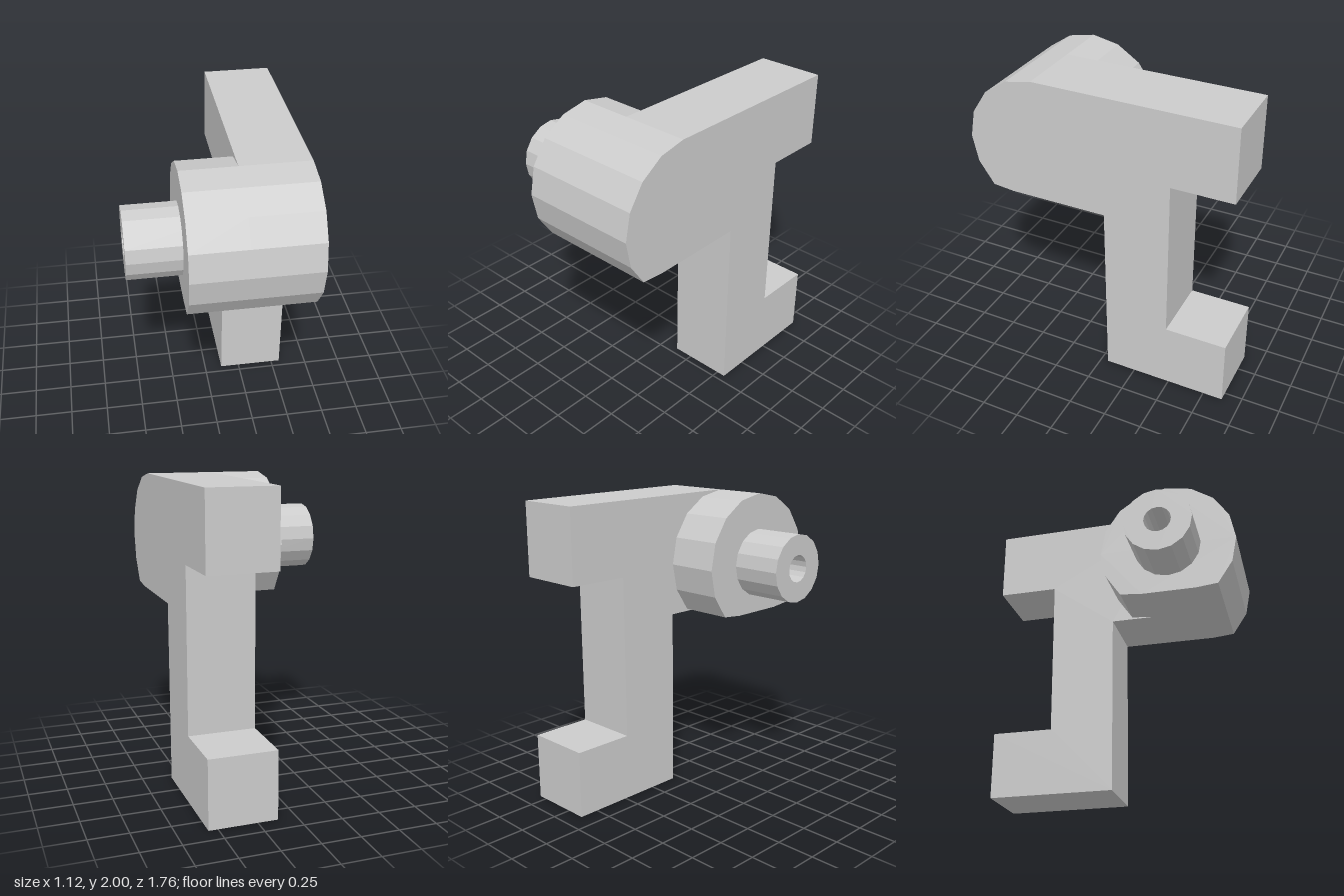
import * as THREE from 'three';

const CZ = 0.42, CY = 1.54; // axis of the drum and spigot
const material = new THREE.MeshStandardMaterial({ color: 0xcccccc, flatShading: true });

// Points of a 16-sided circle around the axis, from step a to step b
function arc(radius, a, b) {
  const pts = [];
  const step = Math.sign(b - a);
  for (let i = a; i !== b + step; i += step) {
    const t = (i * Math.PI) / 8;
    pts.push(new THREE.Vector2(CZ + radius * Math.cos(t), CY + radius * Math.sin(t)));
  }
  return pts;
}

// Extrudes a side profile (z, y) across x, from x0 to x1
function slab(name, shape, x0, x1) {
  const geometry = new THREE.ExtrudeGeometry(shape, { depth: x1 - x0, bevelEnabled: false });
  geometry.rotateY(-Math.PI / 2).translate(x1, 0, 0);
  const mesh = new THREE.Mesh(geometry, material);
  mesh.name = name;
  return mesh;
}

export function createModel() {
  const group = new THREE.Group();
  group.name = 'bracket';
  const R = 0.46;
  const v = (z, y) => new THREE.Vector2(z, y);

  // Bracket plate: foot, stem, top arm and rounded nose
  const plate = new THREE.Shape([
    v(-0.05, 0), v(-0.045, 1.2), v(0.6, 1.2),
    ...arc(R, -2, 4),
    v(-0.88, 1.995), v(-0.88, 1.515), v(-0.48, 1.515),
    v(-0.475, 0.445), v(-0.88, 0.445), v(-0.88, 0),
  ]);
  group.add(slab('bracketPlate', plate, 0.12, 0.56));

  // Drum with its underside cut flat
  const drum = new THREE.Shape([v(0.24, 1.2), v(0.6, 1.2), ...arc(R, -2, 10)]);
  group.add(slab('drum', drum, -0.23, 0.12));

  // Hollow spigot on the side of the drum
  const spigot = new THREE.Shape(arc(0.225, 0, 15));
  spigot.holes.push(new THREE.Path(arc(0.09, 15, 0)));
  group.add(slab('spigot', spigot, -0.565, -0.23));

  return group;
}
